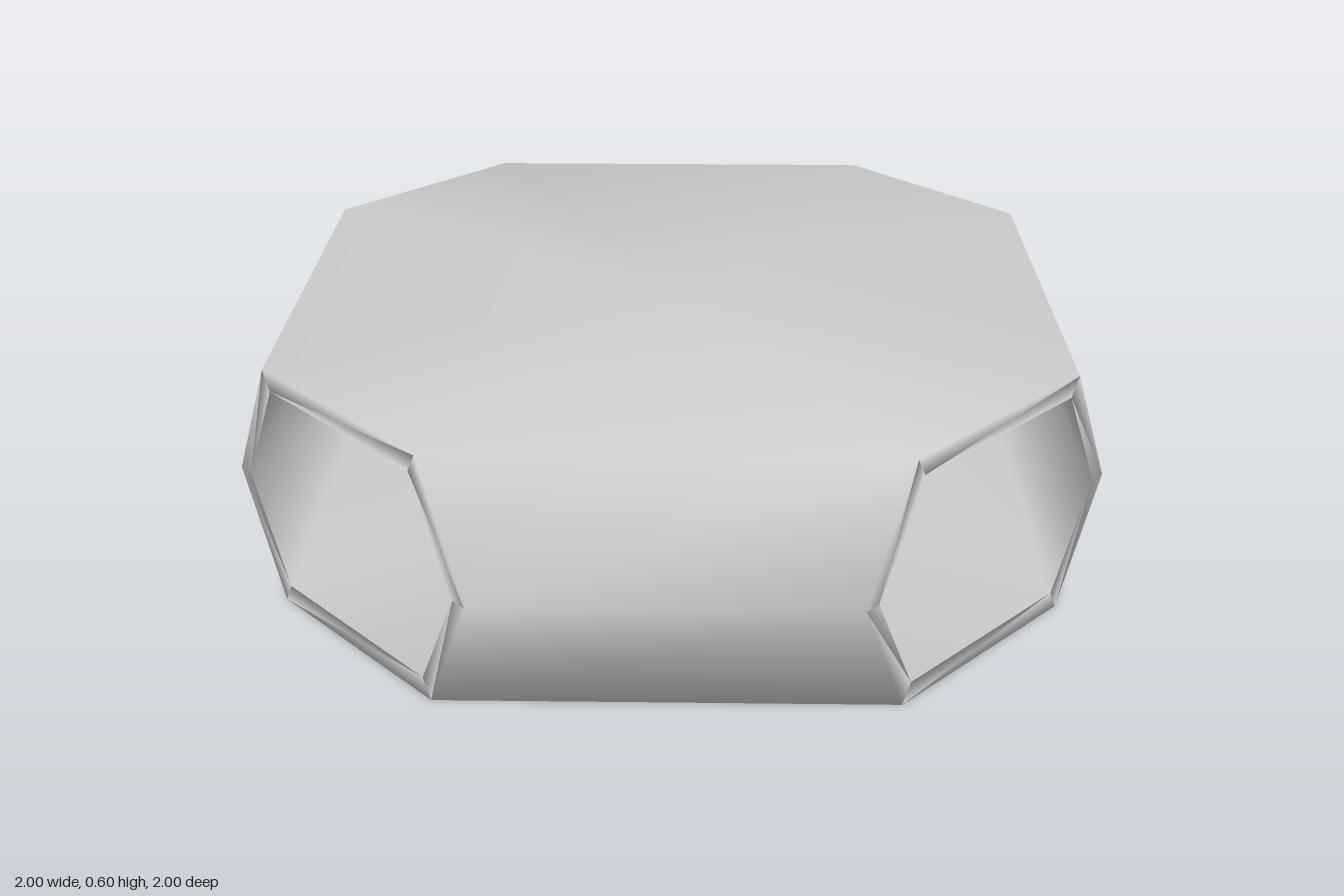
import * as THREE from 'three';

// Four-way junction room: octagonal hollow shell with a hexagonal doorway on each side
const MID = 0.3;

// The 24 doorway corners plus roof and floor centres of one skin
function skinPoints(topHalf, midHalf, bottom, top) {
  const hexagon = [
    [midHalf, MID], [topHalf, top], [-topHalf, top],
    [-midHalf, MID], [-topHalf, bottom], [topHalf, bottom],
  ];
  const points = [];
  for (let side = 0; side < 4; side++) {
    const c = Math.round(Math.cos(side * Math.PI / 2));
    const s = Math.round(Math.sin(side * Math.PI / 2));
    for (const [x, y] of hexagon) points.push(x * c + s, y, c - x * s);
  }
  points.push(0, top, 0, 0, bottom, 0);
  return points;
}

function shellGeometry() {
  const outer = skinPoints(0.28, 0.42, 0, 0.6);
  const inner = skinPoints(0.255, 0.38, 0.047, 0.555);
  const perSkin = outer.length / 3;
  const index = [];
  const tri = (a, b, c, flip) => index.push(a, flip ? c : b, flip ? b : c);
  const quad = (a, b, c, d, flip) => {
    tri(a, b, c, flip);
    tri(a, c, d, flip);
  };

  // Outer skin, then the inner skin facing the room
  for (const flip of [false, true]) {
    const base = flip ? perSkin : 0;
    const roof = base + 24, floor = base + 25;
    for (let side = 0; side < 4; side++) {
      const p = (i) => base + side * 6 + i;
      const q = (i) => base + ((side + 1) % 4) * 6 + i;
      // Diagonal wall, folded at mid height
      quad(p(5), q(4), q(3), p(0), flip);
      quad(p(0), q(3), q(2), p(1), flip);
      // Roof and floor sectors
      tri(roof, p(2), p(1), flip);
      tri(roof, p(1), q(2), flip);
      tri(floor, p(5), p(4), flip);
      tri(floor, q(4), p(5), flip);
    }
  }

  // Doorway rims joining the two skins
  for (let side = 0; side < 4; side++) {
    for (let i = 0; i < 6; i++) {
      const a = side * 6 + i;
      const b = side * 6 + (i + 1) % 6;
      quad(a, b, b + perSkin, a + perSkin, false);
    }
  }

  const geometry = new THREE.BufferGeometry();
  geometry.setAttribute('position', new THREE.Float32BufferAttribute([...outer, ...inner], 3));
  geometry.setIndex(index);
  geometry.computeVertexNormals();
  return geometry;
}

export function createModel() {
  const group = new THREE.Group();
  group.name = 'corridorJunction';
  const shell = new THREE.Mesh(shellGeometry(), new THREE.MeshStandardMaterial({ color: 0xcccccc }));
  shell.name = 'junctionShell';
  group.add(shell);
  return group;
}
